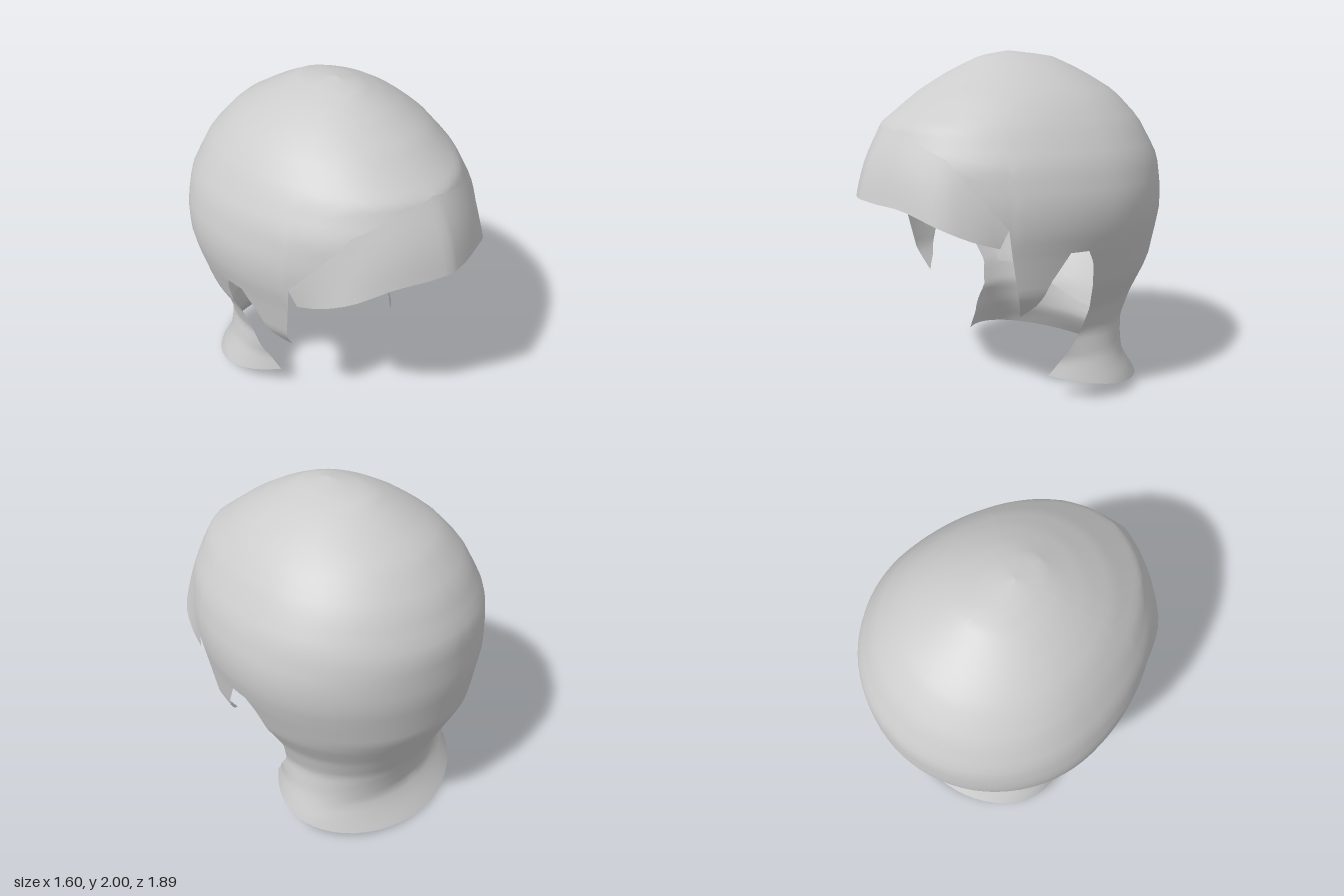
import * as THREE from 'three';
import { mergeVertices } from 'three/addons/utils/BufferGeometryUtils.js';

const { lerp, degToRad } = THREE.MathUtils;

// piecewise linear lookup in a list of [key, value] with rising keys
function look(table, k) {
  if (k <= table[0][0]) return table[0][1];
  for (let i = 1; i < table.length; i++) {
    const [k0, v0] = table[i - 1], [k1, v1] = table[i];
    if (k <= k1) return lerp(v0, v1, (k - k0) / (k1 - k0));
  }
  return table[table.length - 1][1];
}

// horizontal section by height: half width, front z, back z, centre z
const WIDTH = [[0, 0.68], [0.1, 0.65], [0.25, 0.59], [0.4, 0.56], [0.56, 0.605], [0.72, 0.69], [0.98, 0.775],
  [1.1, 0.8], [1.24, 0.8], [1.43, 0.75], [1.62, 0.64], [1.75, 0.53], [1.85, 0.4], [1.93, 0.26], [1.98, 0.12], [2, 0]];
const FRONT = [[0.14, 0.16], [0.23, 0.14], [0.4, 0.3], [0.56, 0.6], [0.7, 0.86], [1.4, 0.86], [1.6, 0.77],
  [1.78, 0.53], [1.88, 0.36], [1.97, 0.17], [2, 0]];
const BACK = [[0, -0.81], [0.1, -0.735], [0.19, -0.685], [0.3, -0.7], [0.41, -0.73], [0.6, -0.82], [0.8, -0.91],
  [1.1, -0.945], [1.38, -0.93], [1.61, -0.81], [1.77, -0.66], [1.88, -0.47], [1.97, -0.28], [2, 0]];
const CENTRE = [[0.1, -0.3], [0.3, -0.25], [0.56, -0.2], [0.95, -0.15], [1.6, -0.15], [1.97, -0.05], [2, 0]];

function shellPoint(a, y) {
  const c = look(CENTRE, y), k = Math.cos(a);
  const depth = k > 0 ? look(FRONT, y) - c : c - look(BACK, y);
  return new THREE.Vector3(look(WIDTH, y) * Math.sin(a), y, c + depth * k);
}

// angle at which the section at height y reaches depth z
function angleAt(y, z) {
  const c = look(CENTRE, y);
  const depth = z > c ? look(FRONT, y) - c : c - look(BACK, y);
  return Math.acos(THREE.MathUtils.clamp((z - c) / depth, -1, 1));
}

// surface grids fn(i/nu, j/nv) joined together, each mirrored to both sides
function mirroredGrids(grids) {
  const pos = [], index = [];
  for (const [nu, nv, fn] of grids) {
    for (const side of [1, -1]) {
      const base = pos.length / 3;
      for (let j = 0; j <= nv; j++) for (let i = 0; i <= nu; i++) {
        const p = fn(i / nu, j / nv);
        pos.push(Math.abs(p.x) < 1e-5 ? 0 : p.x * side, p.y, p.z);
      }
      for (let j = 0; j < nv; j++) for (let i = 0; i < nu; i++) {
        const a = base + j * (nu + 1) + i, b = a + 1, c = a + nu + 1, d = c + 1;
        if (side > 0) index.push(a, c, b, b, c, d);
        else index.push(a, b, c, b, d, c);
      }
    }
  }
  let geo = new THREE.BufferGeometry();
  geo.setAttribute('position', new THREE.Float32BufferAttribute(pos, 3));
  geo.setIndex(index);
  geo = mergeVertices(geo, 1e-4);
  geo.computeVertexNormals();
  return geo;
}

const RIM = 0.95; // height of the ear notch
const BROW_END = degToRad(57);
const browHeight = (a) => look([[0, 1.6], [18, 1.56], [37.5, 1.45], [48.6, 1.25], [57, 1.1]], a * 180 / Math.PI);

// depth of the free edges by height
const SPIKE_FRONT = [[0.57, 0.26], [0.72, 0.32], [0.95, 0.37]];
const SPIKE_BACK = [[0.57, 0.26], [0.65, 0.2], [0.79, 0.15], [0.95, 0.06]];
const NECK_EDGE = [[0.14, 0.01], [0.23, -0.05], [0.32, -0.1], [0.4, -0.15], [0.56, -0.18], [0.7, -0.14], [0.87, -0.1], [0.95, -0.05]];

const spikeA = angleAt(RIM, 0.37), spikeB = angleAt(RIM, 0.06), neckA = angleAt(RIM, -0.05);

// dome column from the crown down to its lower edge
const dome = (a, edge, v) => shellPoint(a, edge + (2 - edge) * Math.cos(v * Math.PI / 2));

function spike(u, v) {
  const y = lerp(RIM, 0.57, v);
  const p = shellPoint(lerp(angleAt(y, look(SPIKE_FRONT, y)), angleAt(y, look(SPIKE_BACK, y)), u), y);
  p.x += 0.05 * v;
  return p;
}

function neck(u, v) {
  const foot = shellPoint(lerp(angleAt(0.14, 0.01), Math.PI, u), 0.14 * (1 - u));
  const bottom = Math.max(0, 0.14 * (foot.z + 0.81) / 0.82);
  const y = lerp(RIM, bottom, v);
  return shellPoint(lerp(angleAt(y, look(NECK_EDGE, y)), Math.PI, u), y);
}

export function createModel() {
  const group = new THREE.Group();
  const material = new THREE.MeshStandardMaterial({ color: 0xcccccc, side: THREE.DoubleSide });
  const add = (name, ...grids) => {
    const mesh = new THREE.Mesh(mirroredGrids(grids), material);
    mesh.name = name;
    group.add(mesh);
  };

  // dome, cheek spikes and flared neck as one smooth skin
  const rows = 24;
  add('shell',
    [14, rows, (u, v) => dome(u * BROW_END, browHeight(u * BROW_END), v)],
    [1, rows, (u, v) => dome(lerp(BROW_END, spikeA, u), lerp(1.1, RIM, u), v)],
    [6, rows, (u, v) => dome(lerp(spikeA, spikeB, u), RIM, v)],
    [2, rows, (u, v) => dome(lerp(spikeB, neckA, u), RIM, v)],
    [20, rows, (u, v) => dome(lerp(neckA, Math.PI, u), RIM, v)],
    [6, 10, spike],
    [20, 24, neck]);

  // peaked visor hanging from the brow crease
  const visorEdge = new THREE.CatmullRomCurve3([
    [0, 1.21, 0.95], [0.13, 1.2, 0.915], [0.31, 1.185, 0.84], [0.5, 1.11, 0.72], [0.595, 1.04, 0.57], [0.645, 1, 0.44],
  ].map((p) => new THREE.Vector3(...p)));
  add('visor', [14, 6, (u, v) => {
    const a = u * BROW_END;
    const p = shellPoint(a, browHeight(a)).lerp(visorEdge.getPoint(u), v);
    const bulge = 0.025 * Math.sin(Math.PI * v) * (1 - u);
    return p.add(new THREE.Vector3(0, bulge * 0.3, bulge));
  }]);

  // lip folded inward over each ear notch
  add('earNotchLip', [2, 2, (u, v) => {
    const p = shellPoint(lerp(spikeB, neckA, u), RIM);
    return p.set(lerp(p.x, 0.6, v), RIM - 0.02 * v, p.z);
  }]);

  // inner lining at the back, ending above the neck flare
  add('lining', [16, 12, (u, v) => {
    const a = lerp(degToRad(97), Math.PI, u);
    const y = lerp(1, 0.3 + 0.26 * Math.pow(Math.max(0, Math.sin(a)), 2.5), v);
    const p = shellPoint(a, y), c = look(CENTRE, y), s = lerp(0.98, 0.94, v * v);
    return p.set(p.x * s, y, c + (p.z - c) * s);
  }]);

  return group;
}
